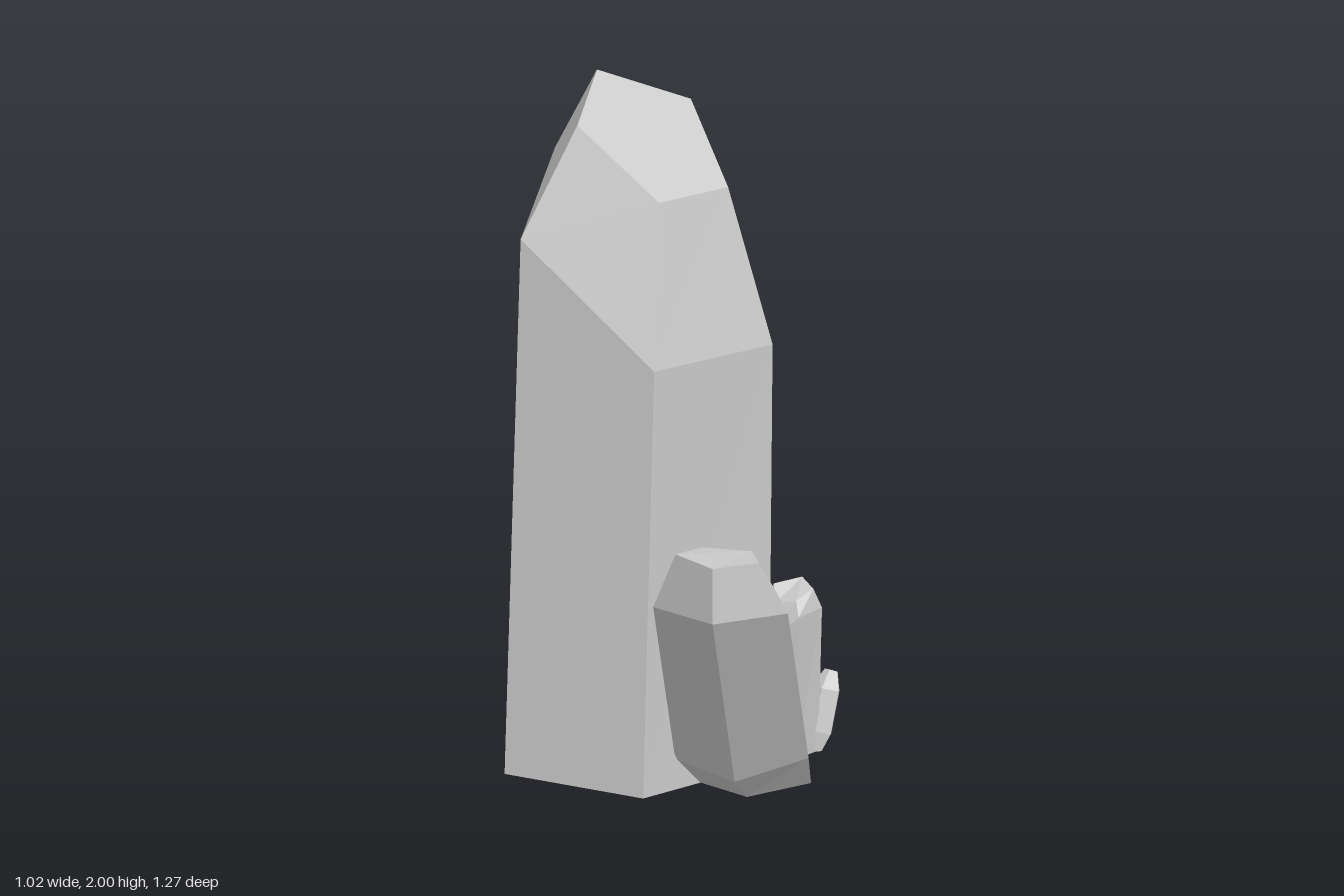
import * as THREE from 'three';

const material = new THREE.MeshStandardMaterial({ color: 0xcccccc, flatShading: true });

// Skin a stack of five-point rings (bottom to top, each turning from +x to +z) and close both ends.
function crystal(name, rings) {
  const points = [];
  const tri = (a, b, c) => points.push(...a, ...b, ...c);
  const top = rings[rings.length - 1], bottom = rings[0], n = bottom.length;
  for (let r = 0; r < rings.length - 1; r++) {
    for (let i = 0; i < n; i++) {
      const j = (i + 1) % n, low = rings[r], high = rings[r + 1];
      tri(low[i], high[i], low[j]);
      tri(low[j], high[i], high[j]);
    }
  }
  for (let i = 1; i < n - 1; i++) {
    tri(bottom[0], bottom[i], bottom[i + 1]);
    tri(top[0], top[i + 1], top[i]);
  }
  const geometry = new THREE.BufferGeometry();
  geometry.setAttribute('position', new THREE.Float32BufferAttribute(points, 3));
  geometry.computeVertexNormals();
  const mesh = new THREE.Mesh(geometry, material);
  mesh.name = name;
  return mesh;
}

// A regular five-sided ring for the smallest shard.
function ring(x, y, z, radius, tilt) {
  return Array.from({ length: 5 }, (_, i) => {
    const a = (i / 5) * Math.PI * 2 + 0.2;
    return [x + radius * Math.cos(a), y - tilt * Math.cos(a), z + radius * Math.sin(a)];
  });
}

export function createModel() {
  const group = new THREE.Group();
  group.name = 'crystalCluster';

  // Tall central crystal: base, shoulder, slanted tip
  group.add(crystal('mainCrystal', [
    [[0.32, 0, -0.28], [0.16, 0, 0.13], [-0.32, 0, 0.1], [-0.44, 0, -0.34], [-0.06, 0, -0.59]],
    [[0.355, 1.56, -0.29], [0.175, 1.26, 0.13], [-0.285, 1.28, 0.11], [-0.385, 1.6, -0.33], [0, 1.73, -0.575]],
    [[0.225, 1.9, -0.25], [0.115, 1.72, 0.01], [-0.16, 1.735, 0.005], [-0.22, 1.92, -0.265], [0.01, 2, -0.415]],
  ]));

  // Crystal leaning to the front
  group.add(crystal('frontLeaningCrystal', [
    [[0.19, 0, 0.2], [0.12, 0, 0.34], [-0.1, 0, 0.3], [-0.1, 0, 0.1], [0.1, 0, 0]],
    [[0.2, 0.08, 0.21], [0.04, 0.11, 0.41], [-0.2, 0.08, 0.35], [-0.19, 0.09, 0.1], [0.08, 0.07, 0]],
    [[-0.09, 0.64, 0.41], [-0.27, 0.67, 0.635], [-0.515, 0.68, 0.575], [-0.5, 0.67, 0.32], [-0.235, 0.64, 0.215]],
    [[-0.25, 0.815, 0.47], [-0.355, 0.835, 0.605], [-0.51, 0.845, 0.57], [-0.5, 0.85, 0.41], [-0.335, 0.82, 0.355]],
  ]));

  // Crystal leaning to the back, with a sloping notched tip
  group.add(crystal('backLeaningCrystal', [
    [[0.3, 0, -0.41], [0.25, 0, -0.14], [0.1, 0, -0.2], [0.1, 0, -0.45], [0.22, 0, -0.52]],
    [[0.375, 0.12, -0.38], [0.31, 0.1, -0.18], [0.1, 0.1, -0.2], [0.08, 0.12, -0.53], [0.29, 0.13, -0.575]],
    [[0.445, 0.51, -0.445], [0.445, 0.51, -0.315], [0.22, 0.35, -0.37], [0.21, 0.5, -0.62], [0.37, 0.52, -0.63]],
    [[0.51, 0.745, -0.525], [0.505, 0.895, -0.45], [0.4, 0.875, -0.515], [0.36, 0.91, -0.63], [0.42, 0.75, -0.635]],
  ]));

  // Small upright crystal
  group.add(crystal('smallCrystal', [
    [[0.3, 0.03, 0.12], [0.28, 0.03, 0.21], [0.18, 0.03, 0.22], [0.14, 0.03, 0.14], [0.21, 0.03, 0.05]],
    [[0.31, 0.42, 0.11], [0.29, 0.46, 0.215], [0.175, 0.46, 0.235], [0.12, 0.36, 0.14], [0.21, 0.44, 0.05]],
    [[0.3, 0.53, 0.125], [0.265, 0.52, 0.205], [0.195, 0.5, 0.205], [0.17, 0.48, 0.14], [0.22, 0.52, 0.09]],
  ]));

  // Tiny tilted shard
  group.add(crystal('tinyShard', [
    ring(0.28, 0.03, 0.19, 0.03, 0),
    ring(0.3, 0.08, 0.19, 0.045, 0.015),
    ring(0.335, 0.2, 0.19, 0.043, 0.015),
    ring(0.355, 0.25, 0.19, 0.02, 0.008),
  ]));

  return group;
}
